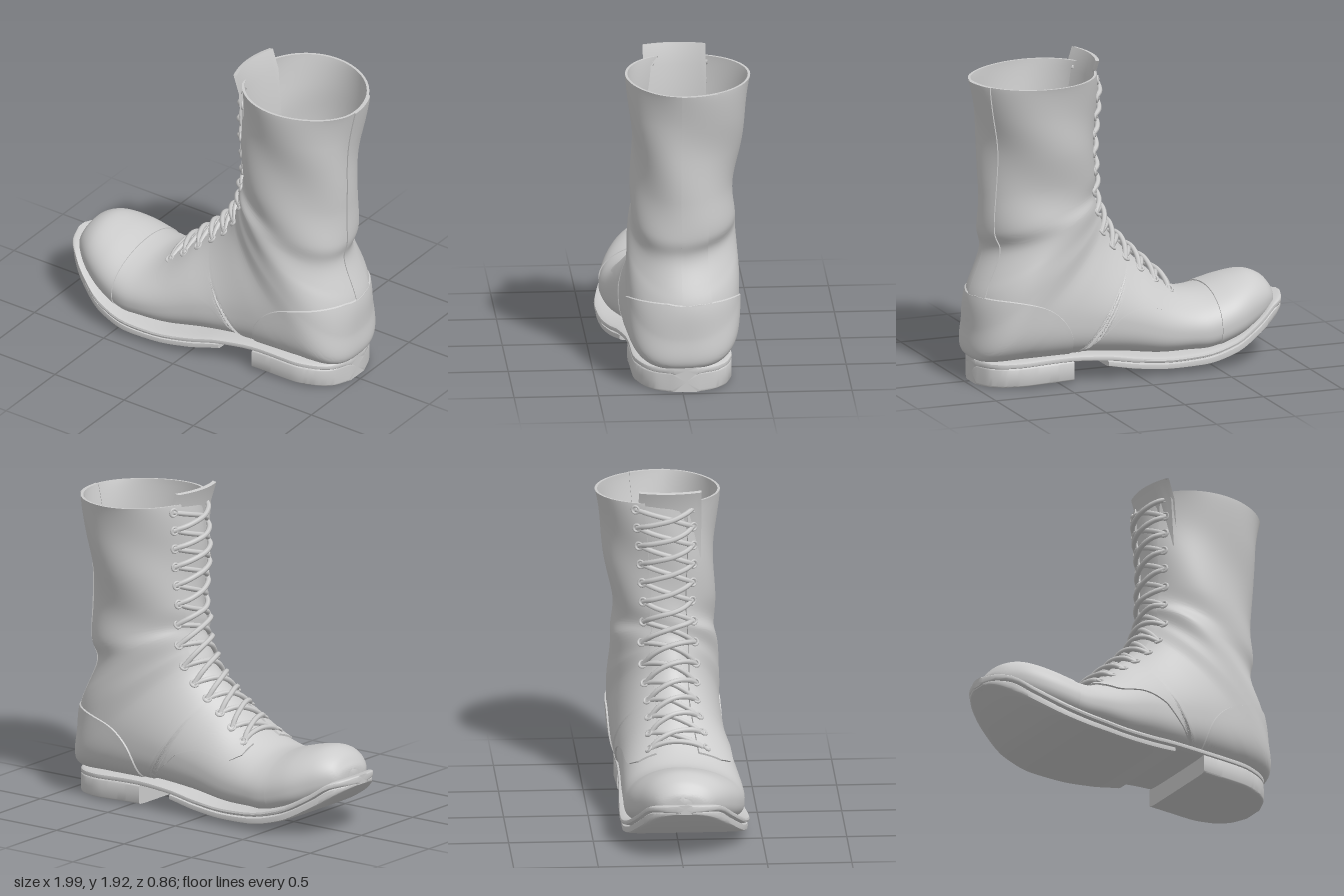
import * as THREE from 'three';
import { toCreasedNormals } from 'three/addons/utils/BufferGeometryUtils.js';

const PI = Math.PI;
const clamp = THREE.MathUtils.clamp;
const mat = new THREE.MeshStandardMaterial({ color: 0xcccccc, side: THREE.DoubleSide });

// Fan of sections from toe tip to collar: front x, front y, back x, back y, +z width, -z width
const SECTIONS = [
  [-0.935, 0.39, -0.935, 0.33, 0.05, 0.02],
  [-0.92, 0.42, -0.92, 0.31, 0.14, 0.11],
  [-0.87, 0.475, -0.87, 0.27, 0.21, 0.17],
  [-0.78, 0.505, -0.78, 0.21, 0.285, 0.23],
  [-0.65, 0.485, -0.65, 0.15, 0.35, 0.29],
  [-0.48, 0.44, -0.48, 0.10, 0.395, 0.315],
  [-0.36, 0.445, -0.34, 0.10, 0.40, 0.315],
  [-0.24, 0.51, -0.15, 0.10, 0.385, 0.315],
  [-0.10, 0.635, 0.10, 0.13, 0.35, 0.315],
  [0.01, 0.74, 0.40, 0.15, 0.315, 0.325],
  [0.10, 0.84, 0.72, 0.15, 0.305, 0.335],
  [0.14, 0.92, 0.955, 0.165, 0.30, 0.34],
  [0.17, 0.98, 0.97, 0.35, 0.30, 0.345],
  [0.19, 1.03, 0.96, 0.54, 0.29, 0.34],
  [0.20, 1.09, 0.87, 0.78, 0.28, 0.32],
  [0.21, 1.15, 0.90, 0.92, 0.265, 0.32],
  [0.21, 1.25, 0.885, 1.15, 0.265, 0.32],
  [0.21, 1.45, 0.89, 1.40, 0.265, 0.355],
  [0.21, 1.65, 0.915, 1.62, 0.275, 0.385],
  [0.21, 1.855, 0.945, 1.83, 0.295, 0.42],
];
const END = SECTIONS.length - 1;

function section(s) {
  const i = Math.min(Math.floor(s), END - 1), t = s - i;
  const k = j => SECTIONS[clamp(j, 0, END)];
  return k(0).map((_, c) => {
    const a = k(i - 1)[c], b = k(i)[c], d = k(i + 1)[c], e = k(i + 2)[c];
    return b + 0.5 * t * (d - a + t * (2 * a - 5 * b + 4 * d - e + t * (3 * (b - d) + e - a)));
  });
}

// Point on the upper: s runs toe to collar, a turns round the section (0 = front, PI = back)
function surf(s, a, off = 0) {
  const [fx, fy, bx, by, zp, zn] = section(s);
  // the squarish foot section turns into an oval shaft
  const widest = 0.6 - 0.1 * clamp((s - 11) / 3, 0, 1);
  const c = Math.cos(a), sn = Math.sin(a);
  const n = c > 0 ? 2 - 0.25 * Math.exp(-(((s - 8.5) / 1.5) ** 2)) : 3 - clamp((s - 10.3) / 3, 0, 1);
  const bulge = Math.pow(Math.abs(c), 2 / n);
  const u = c > 0 ? widest * (1 - bulge) : widest + (1 - widest) * bulge;
  const z = Math.pow(Math.abs(sn), 2 / n) * (sn > 0 ? zp : -zn);
  const p = new THREE.Vector3(fx + (bx - fx) * u, fy + (by - fy) * u, z);
  const out = p.clone().sub(new THREE.Vector3((fx + bx) / 2, (fy + by) / 2, (zp - zn) / 2)).normalize();
  // leather creases up the shaft
  const crease = clamp((s - 12) / 2, 0, 1) * 0.008 * Math.sin(2.2 * s + 3 * a);
  return p.addScaledVector(out, off + crease);
}

// Grid of points with u rows and v columns
function grid(name, us, vs, fn) {
  const pos = [], idx = [], w = vs.length;
  us.forEach((u, i) => vs.forEach((v, j) => {
    pos.push(...fn(u, v, i, j).toArray());
    if (i && j) {
      const d = i * w + j, b = d - w, c = d - 1, a = b - 1;
      idx.push(a, b, c, b, d, c);
    }
  }));
  const g = new THREE.BufferGeometry();
  g.setAttribute('position', new THREE.Float32BufferAttribute(pos, 3));
  g.setIndex(idx);
  const m = new THREE.Mesh(toCreasedNormals(g, 0.6), mat);
  m.name = name;
  return m;
}
const steps = (n, a = 0, b = 1) => Array.from({ length: n + 1 }, (_, i) => a + (b - a) * i / n);

// Leather panel raised off the upper, with its edges turned down
function panel(name, s0, s1, a0, a1, off, nu, nv) {
  const us = [0, ...steps(nu), 1], vs = [0, ...steps(nv), 1];
  return grid(name, us, vs, (u, v, i, j) => {
    const s = s0 + (s1 - s0) * u, edge = !i || !j || i === us.length - 1 || j === vs.length - 1;
    return surf(s, a0(s) + (a1(s) - a0(s)) * v, edge ? -0.003 : off);
  });
}

// Smooth look-up, without overshoot, in rows of [x, value, ...]
function look(t, x, c = 1) {
  let i = 1;
  while (i < t.length - 1 && x > t[i][0]) i++;
  const secant = j => (t[j][c] - t[j - 1][c]) / (t[j][0] - t[j - 1][0]);
  const slope = j => {
    const p = secant(Math.max(j, 1)), q = secant(Math.min(j + 1, t.length - 1));
    return p * q > 0 ? 2 * p * q / (p + q) : 0;
  };
  const h = t[i][0] - t[i - 1][0], k = clamp((x - t[i - 1][0]) / h, 0, 1), e = k * k * (3 - 2 * k);
  return t[i - 1][c] * (1 - e) + t[i][c] * e
    + h * k * (1 - k) * ((1 - k) * slope(i - 1) - k * slope(i));
}

// Angle at which section s crosses the rounded upper edge of the heel counter
function counterEdge(s) {
  let lo = 0.8, hi = PI;
  for (let i = 0; i < 30; i++) {
    const mid = (lo + hi) / 2, p = surf(s, mid);
    const inside = (Math.max(0.98 - p.x, 0) / 0.56) ** 2.4 + (Math.max(p.y - 0.17, 0) / 0.385) ** 2.4 < 1;
    if (inside) hi = mid; else lo = mid;
  }
  return hi;
}

// Sole plan: x, +z edge, -z edge
const PLAN = [[-1, 0.06, -0.03], [-0.97, 0.15, -0.12], [-0.9, 0.235, -0.195], [-0.8, 0.31, -0.25],
  [-0.6, 0.4, -0.315], [-0.4, 0.43, -0.335], [-0.2, 0.415, -0.33], [0, 0.38, -0.32], [0.2, 0.33, -0.31],
  [0.45, 0.29, -0.305], [0.7, 0.28, -0.31], [0.83, 0.24, -0.28], [0.92, 0.17, -0.21], [0.97, 0.05, -0.09]];
// Heights of the welt top and the outsole bottom along x
const TOP = [[-1, 0.37], [-0.9, 0.345], [-0.8, 0.275], [-0.6, 0.17], [-0.4, 0.125], [-0.2, 0.115],
  [0, 0.13], [0.2, 0.16], [0.45, 0.175], [0.97, 0.155]];
const BOTTOM = [[-1, 0.315], [-0.8, 0.175], [-0.6, 0.075], [-0.4, 0.035], [-0.2, 0.03], [0, 0.045], [0.2, 0.08]];

// Sole layer following the plan between two heights, closed at both ends
function layer(name, x0, x1, top, bottom, inset, round) {
  const xs = steps(48).map(t => x0 + (x1 - x0) * (1 - Math.cos(PI * t)) / 2);
  const us = [x0, ...xs, x1];
  const pw = v => Math.sign(v) * Math.pow(Math.abs(v), 2 / round);
  return grid(name, us, steps(32, 0, 2 * PI), (x, v, i) => {
    const k = i === 0 || i === us.length - 1 ? 0 : 1;
    const l = look(PLAN, x, 1) - inset, r = look(PLAN, x, 2) + inset, t = top(x), b = bottom(x);
    return new THREE.Vector3(x, (t + b) / 2 + k * pw(Math.cos(v)) * (t - b) / 2,
      (l + r) / 2 + k * pw(Math.sin(v)) * (l - r) / 2);
  });
}

export function createModel() {
  const boot = new THREE.Group();
  boot.name = 'boot';

  // Upper, with its toe tip closed
  boot.add(grid('upper', [0, ...steps(150, 0, END)], steps(72, -PI, PI),
    (s, a, i) => i ? surf(s, a) : new THREE.Vector3(-0.94, 0.36, 0.015)));
  boot.add(panel('toeCap', 0.2, 4.75, () => -PI, () => PI, 0.007, 40, 72));

  // Quarters on both sides of the lacing gap
  const seam = [[6.6, 0.75], [7, 1.04], [8, 1.24], [8.5, 1.48], [8.8, 2], [9, PI], [END, PI]];
  const GAP = 0.36;
  boot.add(panel('nearQuarter', 6.6, END, () => GAP, s => look(seam, s), 0.012, 160, 32));
  boot.add(panel('farQuarter', 6.6, END, s => -look(seam, s), () => -GAP, 0.012, 160, 32));

  // Heel counter and back strip
  boot.add(panel('heelCounter', 9.1, 13.03, counterEdge, s => 2 * PI - counterEdge(s), 0.022, 70, 50));
  boot.add(panel('backStrip', 12.8, END, () => PI, () => PI + 0.5, 0.02, 60, 8));

  // Tongue standing above the collar
  const tongue = [[1.5, 0.24], [1.8, 0.22], [1.92, 0.18], [1.925, 0.205], [1.8, 0.245], [1.5, 0.265]];
  boot.add(grid('tongue', tongue, steps(12, -1, 1),
    (r, v) => new THREE.Vector3(r[1] + 0.035 * v * v, r[0], 0.185 * v)));

  // Eyelet rows spaced evenly up the front
  const rows = [6.95];
  let last = surf(6.95, 0);
  for (let s = 6.95; s < END - 0.12; s += 0.01) {
    const p = surf(s, 0);
    if (p.distanceTo(last) > 0.113) { rows.push(s); last = p; }
  }
  const EYE = 0.5;
  for (const s of rows) for (const k of [1, -1]) {
    const e = new THREE.Mesh(new THREE.TorusGeometry(0.022, 0.008, 6, 14), mat);
    e.name = 'eyelet';
    e.position.copy(surf(s, k * EYE, 0.014));
    e.lookAt(surf(s, k * EYE, 0.2));
    boot.add(e);
  }

  // Crossed laces with a straight bar at the bottom
  const lace = (s0, s1, k, lift) => {
    const pts = steps(6).map(t => surf(s0 + (s1 - s0) * t, k * EYE * (1 - 2 * t),
      0.004 + lift * Math.pow(Math.max(Math.sin(PI * t), 0), 0.6)));
    const m = new THREE.Mesh(new THREE.TubeGeometry(new THREE.CatmullRomCurve3(pts), 18, 0.016, 7), mat);
    m.name = 'lace';
    boot.add(m);
  };
  lace(rows[0], rows[0], 1, 0.022);
  for (let i = 0; i < rows.length - 1; i++) {
    lace(rows[i], rows[i + 1], 1, 0.016);
    lace(rows[i], rows[i + 1], -1, 0.036);
  }

  // Welt, outsole and heel block
  const weltBottom = x => look(TOP, x) - 0.05;
  boot.add(layer('welt', -1, 0.97, x => look(TOP, x), weltBottom, 0, 4));
  boot.add(layer('outsole', -0.995, 0.2, x => weltBottom(x) + 0.008, x => look(BOTTOM, x), 0.01, 7));
  boot.add(layer('heelBlock', 0.42, 0.965, x => weltBottom(x) + 0.015, x => 0.015 * (0.965 - x) / 0.545, 0.002, 12));
  return boot;
}
